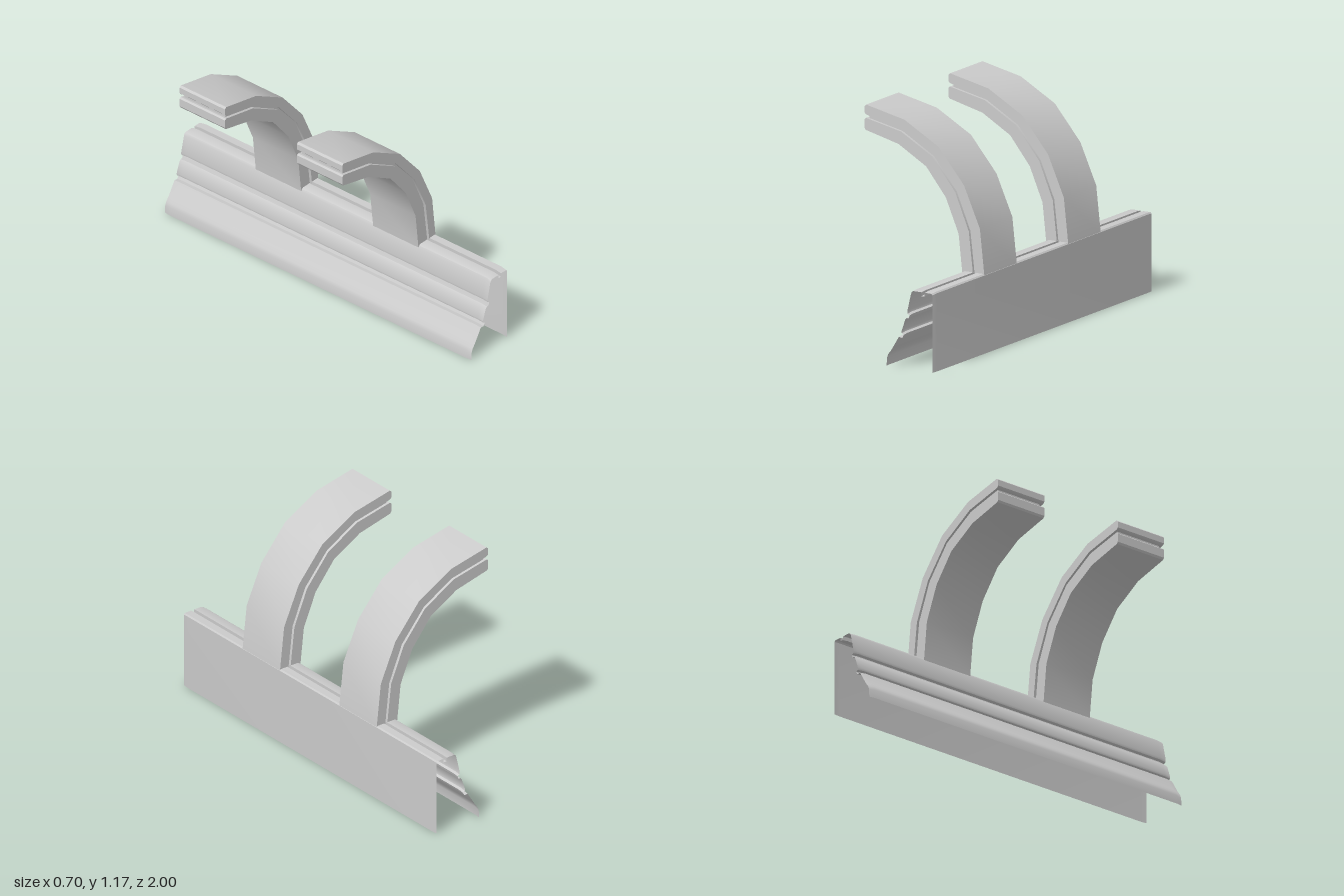
import * as THREE from 'three';
import { mergeGeometries, toCreasedNormals } from 'three/addons/utils/BufferGeometryUtils.js';

const material = new THREE.MeshStandardMaterial({ color: 0xcccccc, side: THREE.DoubleSide });

// Wall along z over a counter-clockwise line of [x, y] points, outward side on its right.
// Two lines of equal length may be given, one for each end.
function wall(lineA, zA, zB, lineB = lineA) {
  const pos = [];
  for (let i = 0; i < lineA.length - 1; i++) {
    const a = [...lineA[i], zA], b = [...lineA[i + 1], zA];
    const c = [...lineB[i + 1], zB], d = [...lineB[i], zB];
    pos.push(...a, ...b, ...c, ...a, ...c, ...d);
  }
  const g = new THREE.BufferGeometry();
  g.setAttribute('position', new THREE.Float32BufferAttribute(pos, 3));
  return g;
}

// Flat face of a closed outline at height z, facing +z or -z
function face(points, z) {
  const g = new THREE.ShapeGeometry(new THREE.Shape(points.map(p => new THREE.Vector2(...p)))).toNonIndexed();
  g.deleteAttribute('uv');
  g.deleteAttribute('normal');
  if (z < 0) g.rotateX(Math.PI).scale(1, -1, 1);
  g.translate(0, 0, z);
  if (z < 0) {
    // the mirror turned the corners round, so swap them back
    const p = g.attributes.position;
    for (let i = 0; i < p.count; i += 3) {
      const a = new THREE.Vector3().fromBufferAttribute(p, i + 1);
      const b = new THREE.Vector3().fromBufferAttribute(p, i + 2);
      // keep only the winding that faces -z
      const o = new THREE.Vector3().fromBufferAttribute(p, i);
      if (a.clone().sub(o).cross(b.clone().sub(o)).z > 0) {
        p.setXYZ(i + 1, b.x, b.y, b.z);
        p.setXYZ(i + 2, a.x, a.y, a.z);
      }
    }
  }
  return g;
}

function part(name, geometries, crease) {
  const mesh = new THREE.Mesh(toCreasedNormals(mergeGeometries(geometries), crease), material);
  mesh.name = name;
  return mesh;
}

// Folded sheet: flat outer wall, grooved ridge, stepped inner wall, open below and at the ends
function makeBase() {
  const profile = [
    [0.35, 0], [0.35, 0.398], [0.344, 0.405], [0.303, 0.405], [0.303, 0.385], [0.283, 0.385],
    [0.283, 0.405], [0.235, 0.405], [0.226, 0.4], [0.22, 0.388], [0.198, 0.297], [0.2, 0.285],
    [0.212, 0.278], [0.206, 0.262], [0.194, 0.262], [0.186, 0.254], [0.163, 0.192], [0.165, 0.181],
    [0.177, 0.174], [0.168, 0.158], [0.147, 0.16], [0.1, 0.086], [0.083, 0.065], [0.075, 0.045], [0.073, 0],
  ];
  // ends draw in very slightly
  const end = profile.map(([x, y]) => [0.212 + (x - 0.212) * 0.972, y && y - 0.004]);
  return part('base', [
    wall(end, -1, -0.967, profile),
    wall(profile, -0.967, 0.967),
    wall(profile, 0.967, 1, end),
  ], 0.6);
}

// Curved arm: two rails with a narrow groove between them on both sides and round the tip
function makeArm(z) {
  const half = 0.148, depth = 0.015;
  const outer = [[0.35, 0.39], [0.323, 0.632], [0.23, 0.84], [0.08, 1.017], [-0.12, 1.128], [-0.345, 1.175]];
  const outerTip = [[-0.345, 1.175], [-0.355, 1.166], [-0.355, 1.134], [-0.347, 1.126], [-0.335, 1.122]];
  const upperLip = [[-0.335, 1.122], [-0.135, 1.08], [0.05, 0.975], [0.19, 0.81], [0.275, 0.615], [0.303, 0.39]];
  const lowerLip = [[0.283, 0.39], [0.258, 0.61], [0.178, 0.8], [0.043, 0.962], [-0.14, 1.065], [-0.335, 1.105]];
  const innerTip = [[-0.335, 1.105], [-0.347, 1.107], [-0.355, 1.1], [-0.355, 1.056], [-0.348, 1.046], [-0.335, 1.043]];
  const inner = [[-0.335, 1.043], [-0.155, 1], [0.008, 0.907], [0.123, 0.765], [0.198, 0.59], [0.22, 0.39]];

  const pieces = [
    wall([...outer, ...outerTip.slice(1)], -half, half),
    wall([...innerTip, ...inner.slice(1)], -half, half),
    wall([upperLip[0], lowerLip[5]], -half + depth, half - depth),
  ];
  for (const s of [-1, 1]) {
    // rail sides and groove floor
    pieces.push(face([...outer, ...outerTip.slice(1), ...upperLip.slice(1)], s * half));
    pieces.push(face([...lowerLip, ...innerTip.slice(1), ...inner.slice(1)], s * half));
    pieces.push(face([...upperLip].reverse().concat([...lowerLip].reverse()), s * (half - depth)));
    // groove walls
    const [a, b] = s > 0 ? [half - depth, half] : [-half, -half + depth];
    pieces.push(wall(upperLip, a, b), wall(lowerLip, a, b));
  }
  const arm = part('arm', pieces, 0.6);
  arm.position.z = z;
  return arm;
}

export function createModel() {
  const group = new THREE.Group();
  group.add(makeBase());
  for (const z of [-0.383, 0.383]) group.add(makeArm(z));
  return group;
}
